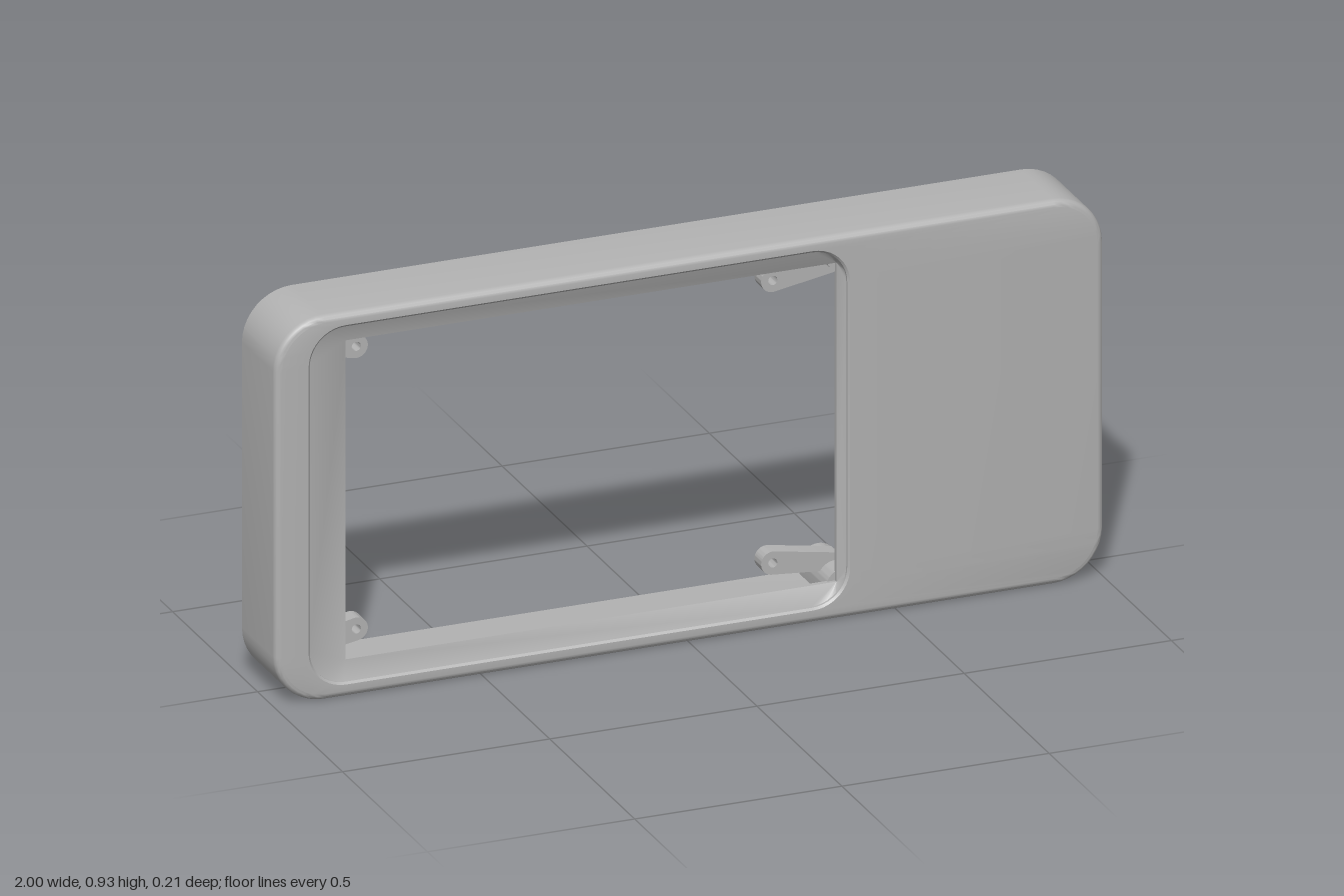
import * as THREE from 'three';
import { toCreasedNormals } from 'three/addons/utils/BufferGeometryUtils.js';

const grey = new THREE.MeshStandardMaterial({ name: 'plainGrey', color: 0xb2b2b2 });
const STEPS = 10; // segments per rounded corner
const MID = 0.465; // mid height of the case

// Ring of points around a rounded rectangle, anticlockwise seen from the front
function ring(x0, x1, y0, y1, r, z) {
  const corners = [[x1 - r, y1 - r], [x0 + r, y1 - r], [x0 + r, y0 + r], [x1 - r, y0 + r]];
  const points = [];
  corners.forEach(([cx, cy], q) => {
    for (let i = 0; i <= STEPS; i++) {
      const a = (q + i / STEPS) * Math.PI / 2;
      points.push(new THREE.Vector3(cx + r * Math.cos(a), cy + r * Math.sin(a), z));
    }
  });
  return points;
}

// Outline of the case shrunk by an inset
const outline = (inset, z) => ring(-1 + inset, 1 - inset, inset, 2 * MID - inset, 0.12 - inset, z);

// Skin joining each ring to the next, and the last back to the first
function loft(rings) {
  const pos = [];
  const tri = new THREE.Triangle();
  const add = (a, b, c) => {
    tri.set(a, b, c);
    if (tri.getArea() > 1e-9) pos.push(...a, ...b, ...c);
  };
  rings.forEach((r0, i) => {
    const r1 = rings[(i + 1) % rings.length];
    r0.forEach((a, j) => {
      const k = (j + 1) % r0.length;
      add(a, r1[j], r1[k]);
      add(a, r1[k], r0[k]);
    });
  });
  const geo = new THREE.BufferGeometry();
  geo.setAttribute('position', new THREE.Float32BufferAttribute(pos, 3));
  return toCreasedNormals(geo, 0.42);
}

function extrude(shape, z0, z1) {
  const geo = new THREE.ExtrudeGeometry(shape, { depth: z1 - z0, bevelEnabled: false, curveSegments: 16 });
  return toCreasedNormals(geo.translate(0, 0, z0), 0.5);
}

function drill(shape, x, y, r) {
  shape.holes.push(new THREE.Path().absarc(x, y, r, 0, Math.PI * 2, true));
  return shape;
}

export function createModel() {
  const model = new THREE.Group();
  model.name = 'displayCase';
  const add = (name, geo) => {
    const mesh = new THREE.Mesh(geo, grey);
    mesh.name = name;
    model.add(mesh);
  };

  // Case shell: window, front face, rounded edge, sides, rear lip, cavity
  const windowRing = z => ring(-0.82, 0.365, 0.08, 0.852, 0, z);
  const recessRing = (grow, z) => ring(-0.915 - grow, 0.382 + grow, 0.036 - grow, 0.896 + grow, 0.085 + grow, z);
  const rings = [windowRing(0.066), windowRing(0.078), recessRing(0, 0.094), recessRing(0, 0.1), recessRing(0.005, 0.105)];
  const fillet = 0.016;
  for (let i = 0; i <= 4; i++) {
    const a = i / 4 * Math.PI / 2;
    rings.push(outline(fillet * (1 - Math.sin(a)), 0.105 - fillet * (1 - Math.cos(a))));
  }
  rings.push(outline(0, -0.092), outline(0.008, -0.092), outline(0.008, -0.105),
    outline(0.04, -0.105), outline(0.04, 0.066));
  add('caseShell', loft(rings));

  // Screw posts and mounting arms, mirrored top and bottom
  for (const s of [1, -1]) {
    const end = s > 0 ? 'Top' : 'Bottom';
    for (const [side, postX, lugX, baseX, baseY, half] of [
      ['Right', -0.92, -0.77, -0.9, 0.368, 0.026],
      ['Left', 0.387, 0.235, 0.39, 0.362, 0.021],
    ]) {
      // Post: round towards the middle, square against the wall where there is room
      const py = MID + s * 0.403, r = 0.045, wall = MID + s * 0.43;
      const post = new THREE.Shape();
      if (side === 'Right') post.absarc(postX, py, r, 0, Math.PI * 2);
      else {
        post.moveTo(postX + r, wall);
        post.lineTo(postX - r, wall);
        post.absarc(postX, py, r, Math.PI, 0, s < 0);
      }
      add('screwPost' + end + side, extrude(drill(post, postX, py, 0.024), -0.085, 0.07));

      // Arm: tapered plate with a rounded, drilled tip
      const lugY = MID + s * 0.342, tip = 0.028;
      const by = MID + s * baseY;
      const dir = Math.atan2(lugY - by, lugX - baseX);
      const nx = -Math.sin(dir) * half, ny = Math.cos(dir) * half;
      const arm = new THREE.Shape();
      arm.moveTo(baseX + nx, by + ny);
      arm.lineTo(baseX - nx, by - ny);
      arm.absarc(lugX, lugY, tip, dir - Math.PI / 2, dir + Math.PI / 2, false);
      add('mountingArm' + end + side, extrude(drill(arm, lugX, lugY, 0.011), -0.02, 0.02));
    }
  }
  return model;
}
